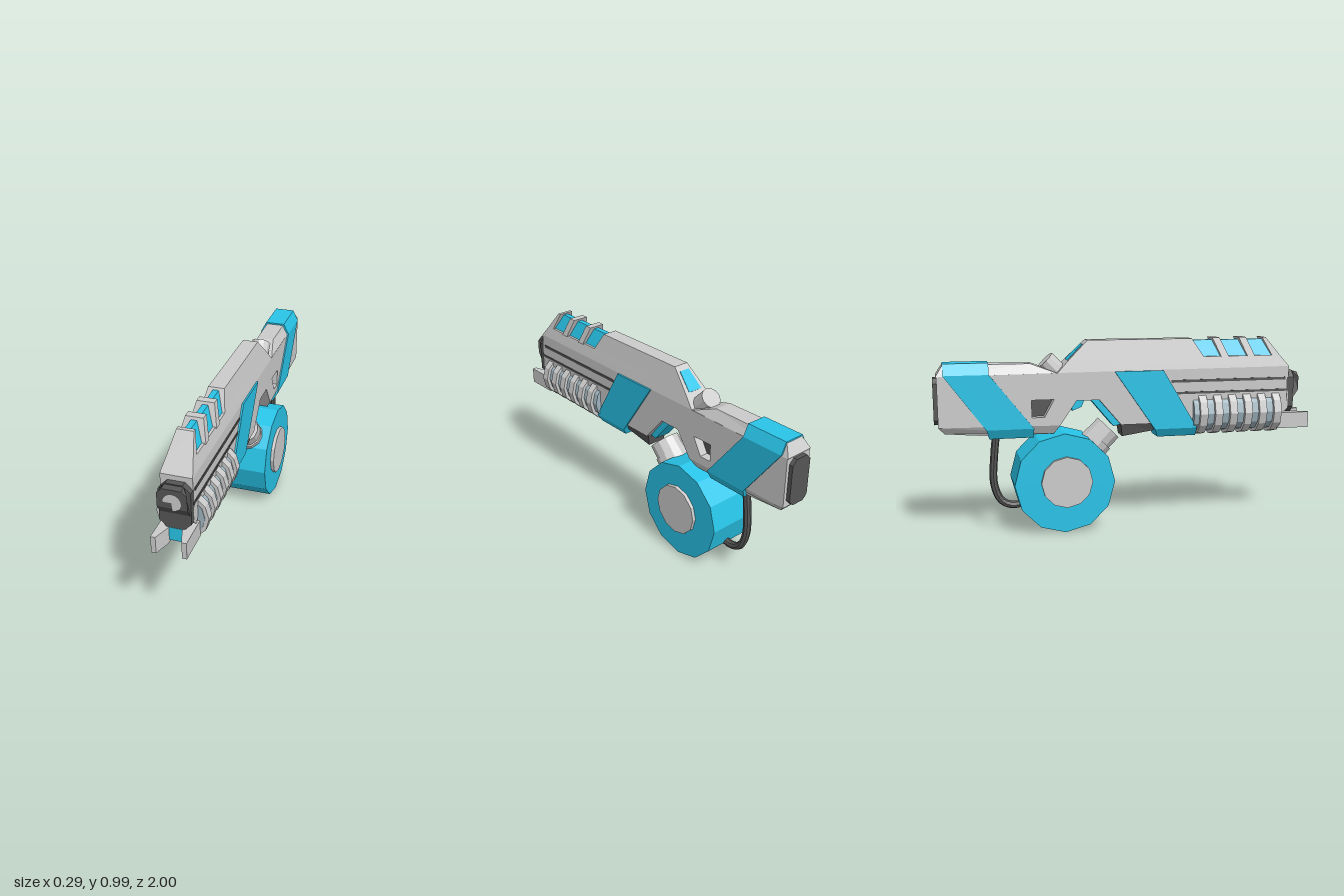
import * as THREE from 'three';

const material = (color) => new THREE.MeshStandardMaterial({ color, flatShading: true, side: THREE.DoubleSide });

export function createModel() {
  const model = new THREE.Group();
  const grey = material(0xcccccc);
  const dark = material(0x555555);
  const cyan = material(0x28c4e8);
  const steel = material(0x9fb4bf);

  const add = (name, geometry, mat) => {
    const mesh = new THREE.Mesh(geometry, mat);
    mesh.name = name;
    model.add(mesh);
    return mesh;
  };

  // Symmetric slab from a side profile of [z, y, halfWidth] points
  const slab = (name, mat, profile, hw = 0.075, hole = null) => {
    const orient = (pts, ccw) => {
      const area = THREE.ShapeUtils.area(pts.map((p) => new THREE.Vector2(-p[0], p[1])));
      return (area > 0) === ccw ? pts : pts.slice().reverse();
    };
    const loops = [orient(profile, true)];
    if (hole) loops.push(orient(hole, false));
    const flat = loops.map((l) => l.map((p) => new THREE.Vector2(-p[0], p[1])));
    const all = loops.flat();
    const out = [];
    const put = (p, side) => out.push(side * (p[2] ?? hw), p[1], p[0]);
    for (const [a, b, c] of THREE.ShapeUtils.triangulateShape(flat[0], flat.slice(1))) {
      [a, b, c].forEach((i) => put(all[i], 1));
      [c, b, a].forEach((i) => put(all[i], -1));
    }
    for (const loop of loops) {
      loop.forEach((p, i) => {
        const q = loop[(i + 1) % loop.length];
        put(p, 1); put(p, -1); put(q, -1);
        put(p, 1); put(q, -1); put(q, 1);
      });
    }
    const geometry = new THREE.BufferGeometry();
    geometry.setAttribute('position', new THREE.Float32BufferAttribute(out, 3));
    geometry.computeVertexNormals();
    return add(name, geometry, mat);
  };

  // Cylinder between two points
  const rod = (name, mat, r, from, to, sides = 12) => {
    const a = new THREE.Vector3(...from), b = new THREE.Vector3(...to);
    const dir = b.clone().sub(a);
    const mesh = add(name, new THREE.CylinderGeometry(r, r, dir.length(), sides), mat);
    mesh.position.copy(a).add(b).multiplyScalar(0.5);
    mesh.quaternion.setFromUnitVectors(new THREE.Vector3(0, 1, 0), dir.normalize());
    return mesh;
  };

  // Block with cut corners, extruded along z
  const cutBlock = (name, mat, hw, y0, y1, z0, z1, c) => {
    const pts = [[hw - c, y0], [hw, y0 + c], [hw, y1 - c], [hw - c, y1],
      [c - hw, y1], [-hw, y1 - c], [-hw, y0 + c], [c - hw, y0]];
    const shape = new THREE.Shape(pts.map((p) => new THREE.Vector2(...p)));
    const geometry = new THREE.ExtrudeGeometry(shape, { depth: z1 - z0, bevelEnabled: false });
    return add(name, geometry.translate(0, 0, z0), mat);
  };

  const box = (name, mat, w, h, d, x, y, z) =>
    add(name, new THREE.BoxGeometry(w, h, d).translate(x, y, z), mat);

  // Main body with the grip recess
  const recess = [[-0.40, 0.69], [-0.515, 0.69], [-0.515, 0.60], [-0.45, 0.60]];
  slab('body', grey, [
    [0.88, 0.83], [0.88, 0.60], [0.85, 0.575], [0.82, 0.62], [0.36, 0.62], [0.33, 0.545],
    [-0.05, 0.545], [-0.165, 0.68], [-0.285, 0.68], [-0.37, 0.555],
    [-0.98, 0.565], [-0.98, 0.82], [-0.38, 0.825],
  ], 0.075, recess);
  slab('gripRecess', dark, recess, 0.03);
  slab('stockUnderside', grey, [[-0.37, 0.555], [-0.98, 0.565], [-0.95, 0.53, 0.05],
    [-0.73, 0.51, 0.05], [-0.40, 0.51, 0.05]]);
  slab('stockTop', grey, [[-0.38, 0.823], [-0.515, 0.873, 0.045],
    [-0.95, 0.875, 0.05], [-0.985, 0.82]]);

  // Tapered upper housing
  slab('upperHousingBase', grey, [[0.88, 0.83], [-0.38, 0.825], [-0.318, 0.89, 0.061], [0.83, 0.89, 0.061]]);
  slab('upperHousing', grey, [[0.40, 0.89, 0.061], [-0.318, 0.89, 0.061],
    [-0.22, 0.985, 0.04], [0.34, 0.985, 0.04]]);
  slab('upperHousingFront', grey, [[0.83, 0.89, 0.061], [0.785, 0.89, 0.061],
    [0.735, 0.985, 0.04], [0.755, 0.985, 0.04]]);
  slab('topWindows', cyan, [[0.79, 0.885, 0.05], [0.39, 0.885, 0.05],
    [0.34, 0.975, 0.014], [0.74, 0.975, 0.014]]);
  for (const z of [0.645, 0.497]) {
    slab('windowRib', grey, [[z + 0.042, 0.885, 0.068], [z, 0.885, 0.068],
      [z - 0.045, 0.988, 0.043], [z - 0.005, 0.988, 0.043]]);
  }
  slab('rearWindow', cyan, [[-0.245, 0.966, 0.028], [-0.325, 0.886, 0.04],
    [-0.315, 0.876, 0.04], [-0.235, 0.956, 0.028]]);

  // Dark grooves along the sides
  for (const s of [-1, 1]) {
    box('sideGroove', dark, 0.006, 0.014, 0.64, s * 0.0755, 0.765, 0.54);
    box('sideGroove', dark, 0.006, 0.012, 0.64, s * 0.0755, 0.702, 0.56);
  }

  // Ribbed fore-end
  rod('foreEndCore', steel, 0.107, [0, 0.59, 0.34], [0, 0.59, 0.83]);
  for (let i = 0; i < 6; i++) {
    const z = 0.805 - i * 0.083;
    rod('foreEndRing', grey, 0.125, [0, 0.59, z - 0.021], [0, 0.59, z + 0.021]);
  }

  // Slanted side panels
  slab('frontPanel', cyan, [[0.175, 0.825], [-0.085, 0.825], [0.13, 0.515], [0.36, 0.515]], 0.084);
  slab('frontPanelUnderside', cyan, [[0.36, 0.515], [0.13, 0.515],
    [0.15, 0.47, 0.055], [0.36, 0.47, 0.055]], 0.084);
  slab('stockPanel', cyan, [[-0.725, 0.825], [-0.95, 0.825], [-0.745, 0.545], [-0.505, 0.545]], 0.082);
  slab('stockPanelTop', cyan, [[-0.725, 0.825], [-0.725, 0.882, 0.053],
    [-0.95, 0.882, 0.053], [-0.95, 0.825]], 0.082);
  slab('stockPanelUnderside', cyan, [[-0.505, 0.545], [-0.745, 0.545],
    [-0.73, 0.495, 0.055], [-0.505, 0.495, 0.055]], 0.082);

  // Butt plate
  cutBlock('buttPlate', dark, 0.058, 0.575, 0.81, -1, -0.975, 0.025);

  // Muzzle
  cutBlock('muzzleBase', dark, 0.075, 0.575, 0.805, 0.87, 0.91, 0.035);
  slab('muzzleNose', dark, [[0.91, 0.80, 0.045], [0.94, 0.795, 0.045], [0.94, 0.77, 0.07],
    [0.94, 0.70, 0.07], [0.91, 0.655, 0.07]]);
  add('bore', new THREE.CircleGeometry(0.042, 16, -Math.PI / 2, Math.PI * 1.5)
    .translate(0, 0.73, 0.942), grey);

  // Forked prongs below the muzzle
  for (const s of [-1, 1]) {
    const plan = [[0.03, 0.82], [0.083, 0.82], [0.083, 1.0], [0.06, 1.0], [0.033, 0.92]];
    const shape = new THREE.Shape(plan.map(([x, z]) => new THREE.Vector2(s * x, z)));
    const geometry = new THREE.ExtrudeGeometry(shape, { depth: 0.085, bevelEnabled: false });
    add('prong', geometry.rotateX(Math.PI / 2).translate(0, 0.577, 0), grey);
  }
  box('prongBridge', cyan, 0.07, 0.068, 0.09, 0, 0.54, 0.865);

  // Trigger area
  slab('guardBlock', dark, [[0.14, 0.55], [-0.05, 0.55], [-0.04, 0.48, 0.05], [0.13, 0.505, 0.05]], 0.065);
  slab('guardLiner', cyan, [[-0.04, 0.545], [-0.165, 0.69], [-0.215, 0.69], [-0.085, 0.535]], 0.045);
  slab('trigger', cyan, [[-0.23, 0.69], [-0.31, 0.69], [-0.30, 0.62], [-0.25, 0.64]], 0.025);

  // Rear knob
  rod('knob', grey, 0.052, [0, 0.78, -0.33], [0, 0.885, -0.435]);

  // Drum with hubs and neck
  rod('drum', cyan, 0.26, [-0.125, 0.26, -0.355], [0.125, 0.26, -0.355]);
  rod('drumHub', grey, 0.133, [-0.143, 0.268, -0.348], [0.143, 0.268, -0.348]);
  rod('drumNeck', grey, 0.078, [0, 0.42, -0.205], [0, 0.52, -0.105]);
  rod('drumNeckBase', grey, 0.084, [0, 0.40, -0.22], [0, 0.465, -0.155]);

  // Hose from stock to drum
  const path = new THREE.CatmullRomCurve3([
    [0.53, -0.69], [0.40, -0.705], [0.25, -0.71], [0.16, -0.675], [0.132, -0.62], [0.14, -0.55],
  ].map(([y, z]) => new THREE.Vector3(0, y, z)));
  add('hose', new THREE.TubeGeometry(path, 20, 0.02, 8), dark);

  return model;
}
